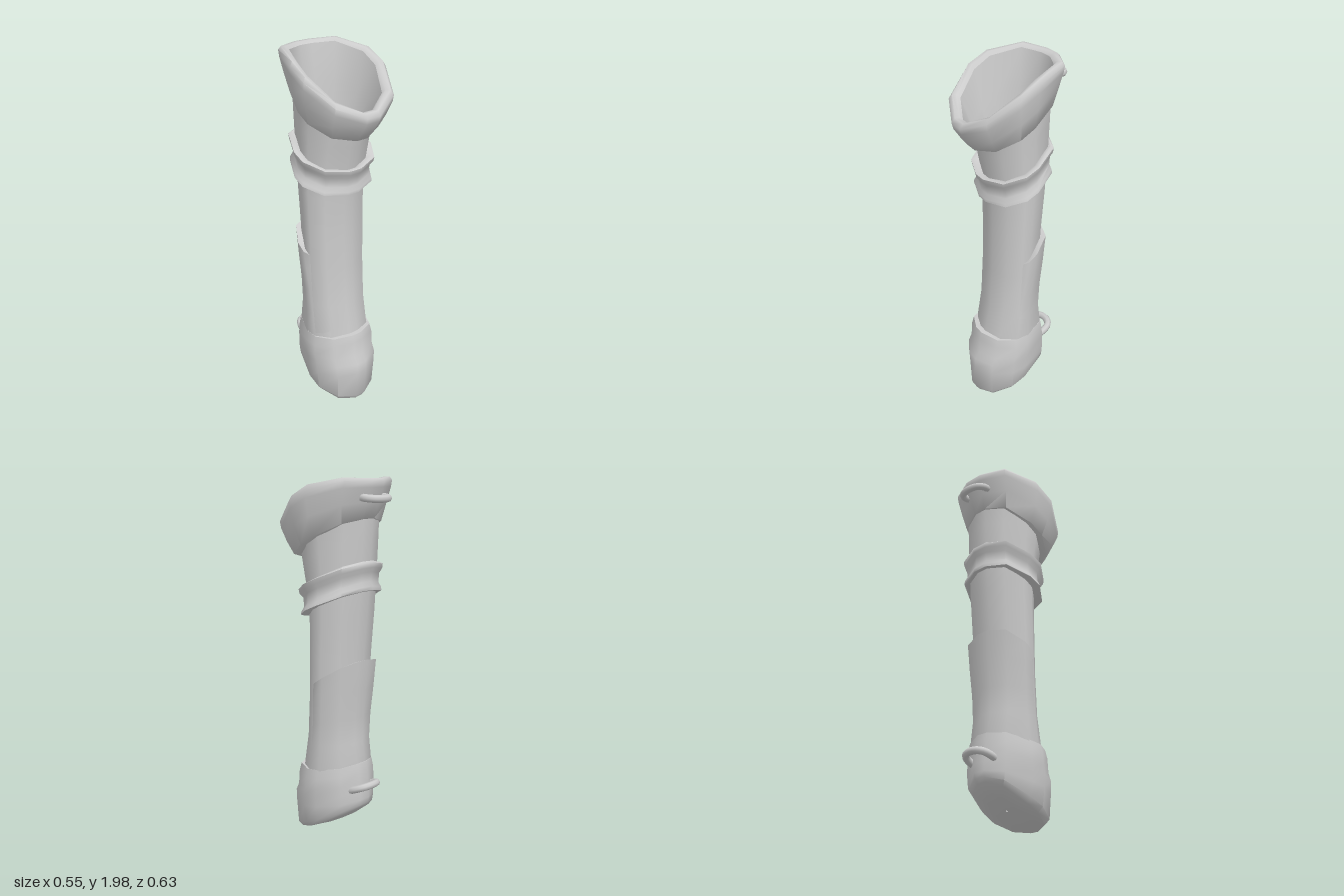
import * as THREE from 'three';
import { toCreasedNormals } from 'three/addons/utils/BufferGeometryUtils.js';

// Half outline of a twelve-sided section: [share of half width, front-to-back share]
const HALF = [[0.16, 0], [0.72, 0.113], [1, 0.365], [0.98, 0.557], [0.7, 0.887], [0.18, 1]];
const OUTLINE = [...HALF, ...HALF.slice().reverse().map(([x, t]) => [-x, t])];

// Skin through tilted rings: [front z, front y, back z, back y, half width, bulge in y].
// Rings run downwards on an outer face and upwards on an inner face.
function loft(rings, crease = 0.9) {
  const n = OUTLINE.length, pos = [], index = [];
  for (const [zf, yf, zb, yb, w, bulge = 0] of rings) {
    for (const [x, t] of OUTLINE) {
      pos.push(x * w, yf + (yb - yf) * t + bulge * 4 * t * (1 - t), zf + (zb - zf) * t);
    }
  }
  for (let i = 0; i < rings.length - 1; i++) {
    for (let j = 0; j < n; j++) {
      const a = i * n + j, b = i * n + (j + 1) % n;
      index.push(a, a + n, b, b, a + n, b + n);
    }
  }
  const g = new THREE.BufferGeometry();
  g.setAttribute('position', new THREE.Float32BufferAttribute(pos, 3));
  g.setIndex(index);
  return toCreasedNormals(g, crease);
}

export function createModel() {
  const group = new THREE.Group();
  const material = new THREE.MeshStandardMaterial({ color: 0xcccccc, side: THREE.DoubleSide });
  const add = (name, geometry) => {
    const mesh = new THREE.Mesh(geometry, material);
    mesh.name = name;
    group.add(mesh);
  };

  // Hollow lining, from the closed floor up to the mouth
  add('lining', loft([
    [0.03, 0.2, 0.02, 0.21, 0.005],
    [0.13, 0.2, -0.11, 0.3, 0.13],
    [0.12, 0.45, -0.11, 0.48, 0.15],
    [0.085, 0.85, -0.12, 0.88, 0.15],
    [0.09, 1.15, -0.135, 1.2, 0.155],
    [0.13, 1.45, -0.165, 1.55, 0.165],
    [0.19, 1.58, -0.18, 1.78, 0.19, 0.02],
    [0.25, 1.695, -0.212, 1.965, 0.222, 0.085],
  ]));

  // Flared collar with a thick rounded rim
  add('collar', loft([
    [0.25, 1.695, -0.212, 1.965, 0.222, 0.085],
    [0.268, 1.71, -0.23, 1.98, 0.24, 0.09],
    [0.292, 1.71, -0.252, 1.98, 0.263, 0.09],
    [0.31, 1.685, -0.265, 1.965, 0.277, 0.085],
    [0.302, 1.655, -0.258, 1.935, 0.275, 0.075],
    [0.265, 1.6, -0.23, 1.86, 0.258, 0.045],
    [0.225, 1.55, -0.205, 1.775, 0.228, 0.01],
    [0.17, 1.55, -0.18, 1.77, 0.19, 0.01],
  ], 1.1));

  // Slender tube
  add('tube', loft([
    [0.19, 1.6, -0.2, 1.8, 0.205],
    [0.17, 1.5, -0.195, 1.68, 0.2],
    [0.14, 1.36, -0.185, 1.48, 0.192],
    [0.125, 1.2, -0.17, 1.28, 0.189],
    [0.125, 1, -0.148, 1.04, 0.186],
    [0.13, 0.8, -0.138, 0.82, 0.182],
    [0.145, 0.58, -0.132, 0.6, 0.178],
    [0.175, 0.42, -0.14, 0.44, 0.18],
    [0.19, 0.3, -0.14, 0.35, 0.17],
  ]));

  // Tilted band with raised lips and a concave middle
  add('band', loft([
    [0.13, 1.365, -0.17, 1.53, 0.18],
    [0.165, 1.38, -0.195, 1.555, 0.22],
    [0.182, 1.375, -0.208, 1.545, 0.24],
    [0.178, 1.352, -0.206, 1.52, 0.235],
    [0.158, 1.33, -0.192, 1.495, 0.217],
    [0.154, 1.28, -0.188, 1.445, 0.214],
    [0.167, 1.255, -0.2, 1.42, 0.23],
    [0.166, 1.24, -0.2, 1.4, 0.236],
    [0.15, 1.235, -0.19, 1.395, 0.22],
    [0.11, 1.245, -0.15, 1.405, 0.17],
  ], 1.1));

  // Back plate; its front half sinks into the tube
  add('backPlate', loft([
    [0.07, 0.83, -0.14, 1.01, 0.17],
    [0.095, 0.84, -0.172, 1.02, 0.206],
    [0.105, 0.77, -0.16, 0.86, 0.198],
    [0.12, 0.65, -0.146, 0.7, 0.187],
    [0.143, 0.53, -0.143, 0.56, 0.182],
    [0.178, 0.4, -0.163, 0.42, 0.186],
    [0.18, 0.3, -0.15, 0.34, 0.18],
  ]));

  // Slanted tip with a forward toe
  add('tip', loft([
    [0.16, 0.41, -0.14, 0.44, 0.17, -0.02],
    [0.205, 0.41, -0.168, 0.445, 0.188, -0.02],
    [0.216, 0.37, -0.176, 0.4, 0.198, -0.03],
    [0.222, 0.28, -0.18, 0.34, 0.2, -0.01],
    [0.247, 0.24, -0.185, 0.29, 0.197, -0.01],
    [0.248, 0.18, -0.187, 0.24, 0.192, -0.02],
    [0.24, 0.03, -0.184, 0.21, 0.182, -0.015],
    [0.222, 0.005, -0.168, 0.188, 0.155, -0.02],
    [0.13, 0.03, -0.1, 0.13, 0.08, -0.01],
    [0.02, 0.075, 0.01, 0.08, 0.004],
  ]));

  // Carrying loops on the back
  const addLoop = (name, y, z, depth, rise) => {
    const path = new THREE.CatmullRomCurve3(
      [[-0.075, -0.3], [-0.078, 0.35], [-0.06, 0.8], [-0.025, 1], [0.025, 1], [0.06, 0.8], [0.078, 0.35], [0.075, -0.3]]
        .map(([x, d]) => new THREE.Vector3(x, y + rise * d, z - depth * d)));
    add(name, new THREE.TubeGeometry(path, 20, 0.02, 8));
  };
  addLoop('upperLoop', 1.885, -0.225, 0.07, -0.007);
  addLoop('lowerLoop', 0.3, -0.15, 0.09, 0.035);

  return group;
}
